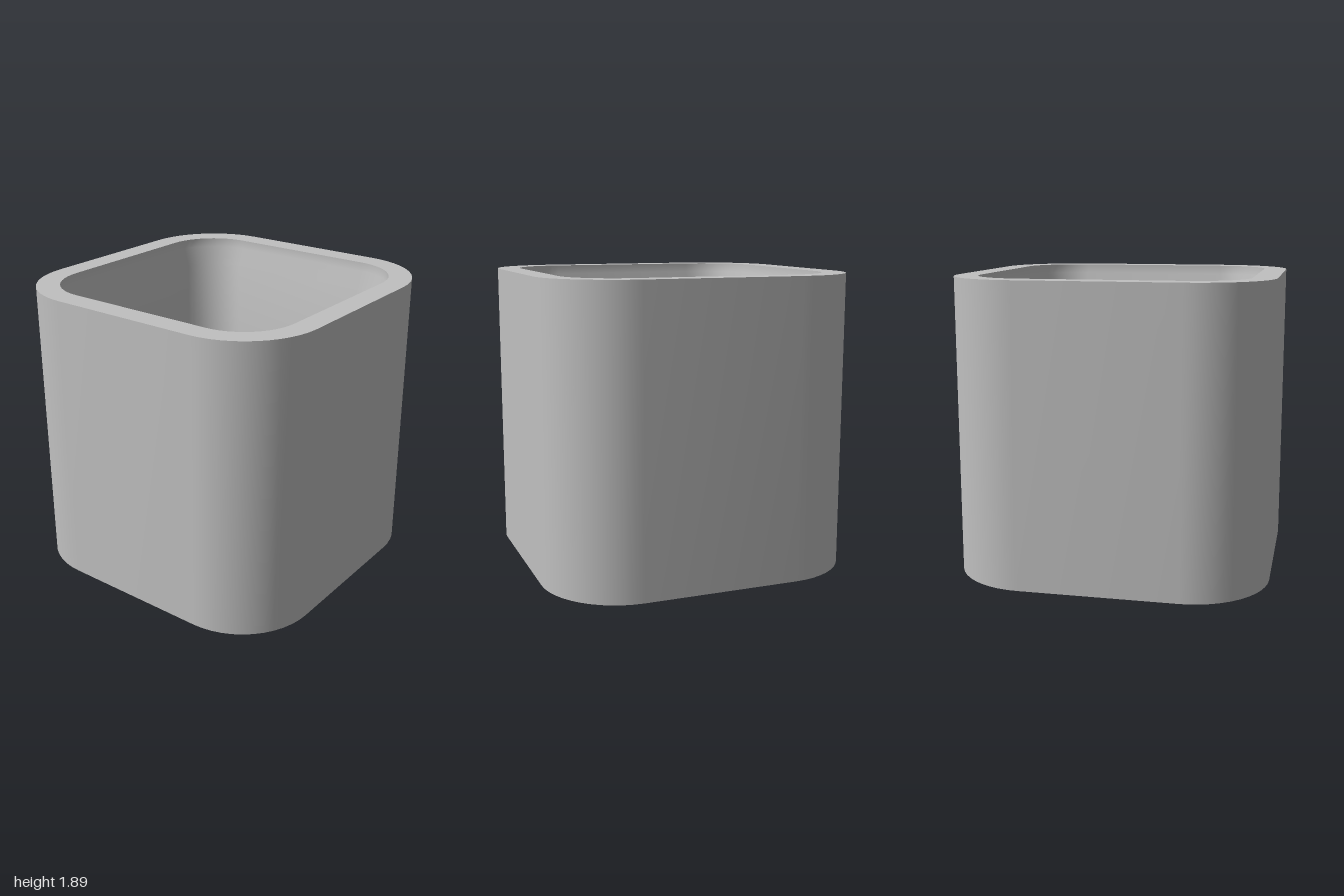
import * as THREE from 'three';
import { toCreasedNormals } from 'three/addons/utils/BufferGeometryUtils.js';

const HEIGHT = 1.89, FLOOR = 0.25, STEPS = 12;

// Rounded-square outline, counterclockwise; radius equal to half gives a circle
function outline(half, radius, cx = 0, cy = 0) {
  const points = [];
  for (let q = 0; q < 4; q++) {
    const sx = q === 0 || q === 3 ? 1 : -1;
    const sy = q < 2 ? 1 : -1;
    const last = half === radius ? STEPS - 1 : STEPS;
    for (let i = 0; i <= last; i++) {
      const a = (q + i / STEPS) * Math.PI / 2;
      points.push(new THREE.Vector2(
        cx + sx * (half - radius) + radius * Math.cos(a),
        cy + sy * (half - radius) + radius * Math.sin(a)));
    }
  }
  return points;
}

// Wall through rows of [outline, height]; rising rows face out, falling rows face in
function loft(rows) {
  const n = rows[0][0].length, position = [], index = [];
  for (const [points, y] of rows) for (const p of points) position.push(p.x, y, -p.y);
  for (let r = 0; r < rows.length - 1; r++) {
    for (let i = 0; i < n; i++) {
      const j = (i + 1) % n;
      const a = r * n + i, b = r * n + j, c = b + n, d = a + n;
      index.push(a, b, c, a, c, d);
    }
  }
  const geometry = new THREE.BufferGeometry();
  geometry.setAttribute('position', new THREE.Float32BufferAttribute(position, 3));
  geometry.setIndex(index);
  return toCreasedNormals(geometry, 0.5);
}

// Flat horizontal face with holes
function plate(points, holes, y, up) {
  const shape = new THREE.Shape(points);
  shape.holes = holes.map(h => new THREE.Path(h));
  return new THREE.ShapeGeometry(shape).rotateX(up ? -Math.PI / 2 : Math.PI / 2).translate(0, y, 0);
}

export function createModel() {
  const group = new THREE.Group();
  const grey = new THREE.MeshStandardMaterial({ color: 0xc0c0c0 });
  grey.name = 'grey';
  const add = (name, geometry) => {
    const mesh = new THREE.Mesh(geometry, grey);
    mesh.name = name;
    group.add(mesh);
  };

  const outer = outline(1, 0.5);
  const mouth = outline(0.85, 0.35);
  const inner = outline(0.805, 0.305);

  // Outer shell, rim and cavity with a recessed, sloping lip
  add('outerWall', loft([[outer, 0], [outer, HEIGHT]]));
  add('rim', plate(outer, [mouth], HEIGHT, true));
  add('innerWall', loft([[mouth, HEIGHT], [mouth, HEIGHT - 0.06], [inner, HEIGHT - 0.18], [inner, FLOOR]]));

  // Floor with one central hole and four corner holes
  const holes = [outline(0.23, 0.23)];
  for (const x of [-0.545, 0.545]) for (const z of [-0.545, 0.545]) holes.push(outline(0.108, 0.108, x, z));
  add('floorTop', plate(inner, holes, FLOOR, true));
  add('floorUnderside', plate(outer, holes, 0, false));
  holes.forEach((hole, i) => add(i ? 'cornerHole' : 'centreHole', loft([[hole, FLOOR], [hole, 0]])));

  return group;
}
